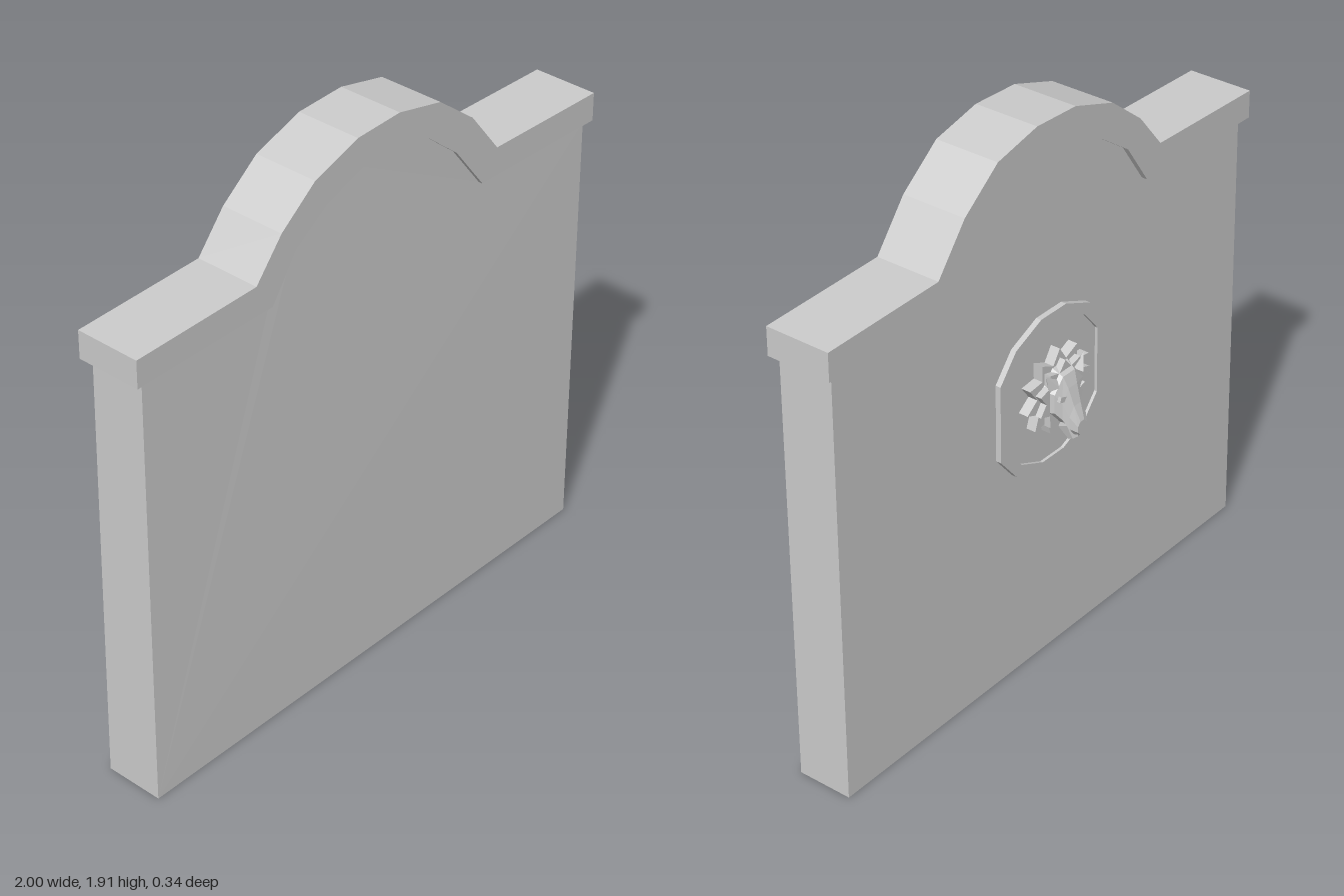
import * as THREE from 'three';

const stone = new THREE.MeshStandardMaterial({ color: 0xcccccc, flatShading: true, side: THREE.DoubleSide });

const capTop = [[-1, 1.59], [-0.525, 1.603], [-0.42, 1.73], [-0.28, 1.84], [-0.1, 1.902],
  [0.08, 1.91], [0.26, 1.87], [0.41, 1.755], [0.53, 1.603], [1, 1.597]];
const capArch = [[-0.46, 1.505], [-0.36, 1.65], [-0.23, 1.74], [-0.08, 1.795],
  [0.08, 1.8], [0.21, 1.77], [0.34, 1.665], [0.465, 1.505]];

const toShape = pts => new THREE.Shape(pts.map(p => new THREE.Vector2(...p)));

function addMesh(parent, name, geometry) {
  const mesh = new THREE.Mesh(geometry, stone);
  mesh.name = name;
  parent.add(mesh);
  return mesh;
}

// Straight extrusion from z0 to z1
function slab(shape, z0, z1) {
  return new THREE.ExtrudeGeometry(shape, { depth: z1 - z0, bevelEnabled: false }).translate(0, 0, z0);
}

// Hollow wall: front, back and ends only, open at the bottom and under the cap
function wallGeometry() {
  const shape = toShape([[-0.985, 0], [0.97, 0], [0.97, 1.5], ...[...capArch].reverse(), [-0.97, 1.5]]);
  const source = slab(shape, -0.037, 0.155);
  const pos = source.attributes.position, nor = source.attributes.normal;
  const kept = [];
  for (let i = 0; i < pos.count; i += 3) {
    if (Math.abs(nor.getZ(i)) < 0.5 && Math.abs(nor.getX(i)) < 0.95) continue;
    for (let k = i; k < i + 3; k++) {
      const x = pos.getX(k), y = pos.getY(k), z = pos.getZ(k);
      // one front foot corner leans outwards
      const lean = x < -0.9 && y < 0.01 && z > 0 ? 0.012 : 0;
      kept.push(x, y, z + lean);
    }
  }
  const g = new THREE.BufferGeometry();
  g.setAttribute('position', new THREE.Float32BufferAttribute(kept, 3));
  g.computeVertexNormals();
  return g;
}

// Tall twelve-sided outline of the medallion
function medallionOutline(s) {
  const q = [[0.255, 0.135], [0.18, 0.225], [0.06, 0.277]];
  const top = [...q, ...[...q].reverse().map(([x, y]) => [-x, y])];
  return [...top, ...top.map(([x, y]) => [-x, -y])].map(([x, y]) => [x * s, y * s]);
}

// Spiky ring of mane locks
function starOutline(rx, ry, inner, spikes, cy) {
  return Array.from({ length: spikes * 2 }, (_, i) => {
    const a = Math.PI / 2 + i * Math.PI / spikes;
    const r = i % 2 ? inner : 1;
    return [Math.cos(a) * rx * r, cy + Math.sin(a) * ry * r];
  });
}

// Loft through elliptical rings [z, centreY, radiusX, radiusY], closed at the tip
function loft(rings, sides) {
  const verts = [], index = [];
  rings.forEach(([z, cy, rx, ry]) => {
    for (let i = 0; i < sides; i++) {
      const a = (i + 0.5) * 2 * Math.PI / sides;
      verts.push(Math.cos(a) * rx, cy + Math.sin(a) * ry, z);
    }
  });
  for (let r = 0; r < rings.length - 1; r++) {
    for (let i = 0; i < sides; i++) {
      const a = r * sides + i, b = r * sides + (i + 1) % sides;
      index.push(a, b, b + sides, a, b + sides, a + sides);
    }
  }
  const last = (rings.length - 1) * sides;
  for (let i = 1; i < sides - 1; i++) index.push(last, last + i, last + i + 1);
  const g = new THREE.BufferGeometry();
  g.setAttribute('position', new THREE.Float32BufferAttribute(verts, 3));
  g.setIndex(index);
  g.computeVertexNormals();
  return g;
}

export function createModel() {
  const model = new THREE.Group();
  model.name = 'archedWall';

  addMesh(model, 'wall', wallGeometry());
  const capShape = toShape([...capTop, [1, 1.5], ...[...capArch].reverse(), [-1, 1.495]]);
  addMesh(model, 'copingCap', slab(capShape, -0.057, 0.17));

  // Medallion on the back; its local +z points out of the wall
  const medallion = new THREE.Group();
  medallion.name = 'medallion';
  medallion.position.y = 0.975;
  medallion.rotation.y = Math.PI;
  model.add(medallion);

  const rim = toShape(medallionOutline(1));
  rim.holes.push(new THREE.Path(medallionOutline(0.86).map(p => new THREE.Vector2(...p))));
  addMesh(medallion, 'medallionRim', slab(rim, 0.035, 0.056));
  addMesh(medallion, 'medallionPanel', slab(toShape(medallionOutline(0.87)), 0.03, 0.046));

  // Lion head
  const head = new THREE.Group();
  head.name = 'lionHead';
  medallion.add(head);
  addMesh(head, 'outerMane', slab(toShape(starOutline(0.158, 0.145, 0.7, 11, 0.012)), 0.045, 0.08));
  addMesh(head, 'innerMane', slab(toShape(starOutline(0.125, 0.115, 0.74, 10, 0.01)), 0.08, 0.102));
  addMesh(head, 'face', loft([
    [0.08, 0.012, 0.095, 0.1], [0.115, 0.005, 0.075, 0.085], [0.13, -0.025, 0.055, 0.075],
    [0.148, -0.065, 0.042, 0.055], [0.168, -0.09, 0.024, 0.026]], 8));
  const chin = addMesh(head, 'chin', new THREE.CylinderGeometry(0.035, 0.018, 0.05, 6));
  chin.position.set(0, -0.115, 0.125);
  chin.rotation.x = -0.4;

  // Brows and ears in pairs
  for (const s of [-1, 1]) {
    const brow = addMesh(head, 'brow', new THREE.BoxGeometry(0.045, 0.018, 0.02));
    brow.position.set(s * 0.04, 0.015, 0.122);
    brow.rotation.z = s * 0.35;
    const ear = addMesh(head, 'ear', new THREE.ConeGeometry(0.025, 0.055, 4));
    ear.position.set(s * 0.075, 0.085, 0.1);
    ear.rotation.z = -s * 0.6;
  }
  return model;
}
